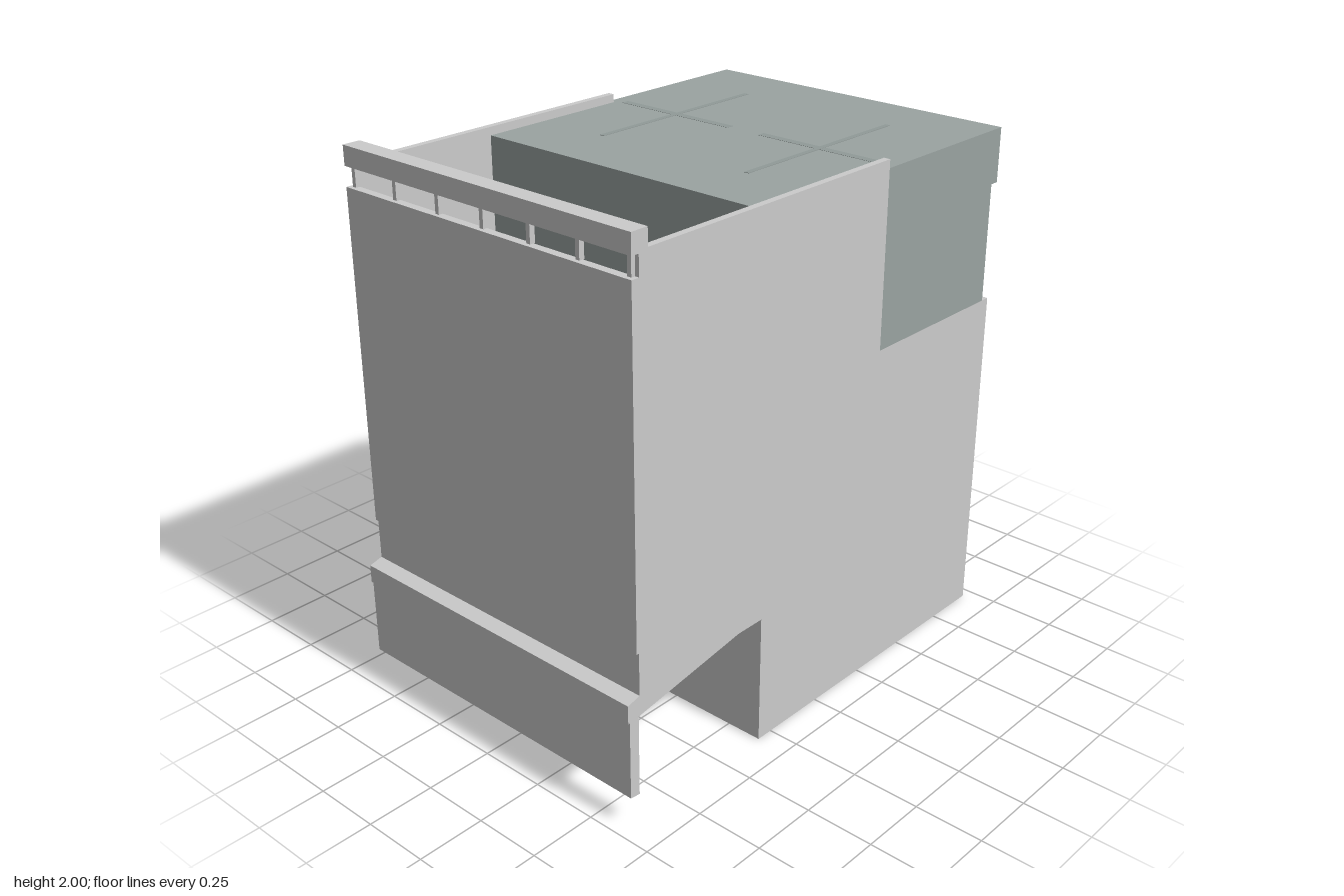
import * as THREE from 'three';

const mat = (color) => new THREE.MeshStandardMaterial({ color, flatShading: true });

export function createModel() {
  const model = new THREE.Group();
  const grey = mat(0xcccccc);
  const slate = mat(0x9aa3a1);
  const slateDark = mat(0x919a98);
  const grille = mat(0x3d5155);

  // box given by its minimum and maximum corners
  const box = (name, material, x0, x1, y0, y1, z0, z1) => {
    const mesh = new THREE.Mesh(new THREE.BoxGeometry(x1 - x0, y1 - y0, z1 - z0), material);
    mesh.position.set((x0 + x1) / 2, (y0 + y1) / 2, (z0 + z1) / 2);
    mesh.name = name;
    model.add(mesh);
    return mesh;
  };

  // side profile of [z, y] points extruded across the width
  const profile = (name, material, points, width) => {
    const shape = new THREE.Shape(points.map(([z, y]) => new THREE.Vector2(z, y)));
    const geo = new THREE.ExtrudeGeometry(shape, { depth: width, bevelEnabled: false });
    geo.translate(0, 0, -width / 2);
    geo.rotateY(-Math.PI / 2);
    const mesh = new THREE.Mesh(geo, material);
    mesh.name = name;
    model.add(mesh);
  };

  const W = 0.635;  // half width
  const IN = 0.61;  // half width inside the side walls
  const BACK = -0.955;

  // base, floor, front wall and hanging kick plate
  profile('body', grey, [
    [BACK, 0], [0.315, 0], [0.315, 0.485], [0.43, 0.485], [0.91, 0.41],
    [0.91, 0.112], [0.95, 0.117], [0.95, 0.405], [0.957, 0.405], [0.957, 0.472],
    [0.905, 0.485], [0.905, 0.64], [0.915, 0.64], [0.915, 1.86], [0.885, 1.86],
    [0.885, 0.5], [0.3, 0.5], [0.3, 1.27], [BACK, 1.27],
  ], W * 2);

  // side walls of the open bay
  for (const s of [-1, 1]) {
    const a = s * IN, b = s * W;
    box('sideWall', grey, Math.min(a, b), Math.max(a, b), 0.5, 1.94, -0.29, 0.885);
  }

  // rail over the front wall, carried on short posts
  box('topRail', grey, -W, W, 1.93, 2, 0.848, 0.915);
  for (let i = -3; i <= 3; i++) {
    const x = i * 0.204;
    box('railPost', grey, x - 0.008, x + 0.008, 1.86, 1.93, 0.88, 0.9);
  }

  // inner housing with overhanging rear head
  box('innerHousing', slate, -IN, IN, 0.5, 1.91, -0.29, 0.315);
  profile('rearHousing', slate, [
    [-0.92, 1.27], [-0.29, 1.27], [-0.29, 1.91], [BACK, 1.91], [BACK, 1.71], [-0.92, 1.71],
  ], W * 2);

  // cross marks on the housing top
  for (const x of [-0.325, 0.325]) {
    box('crossBarLong', slateDark, x - 0.01, x + 0.01, 1.9, 1.9115, -0.71, 0.06);
    box('crossBarShort', slateDark, x - 0.255, x + 0.255, 1.9, 1.911, -0.335, -0.305);
  }

  // rear grille with slats and staggered clips
  box('grillePanel', grille, -0.58, 0.58, 1.275, 1.68, -0.935, -0.915);
  for (let i = 0; i < 4; i++) {
    const y = 1.68 - i * 0.115;
    const x = -0.37 + i * 0.104;
    box('grilleSlat', slate, -0.58, 0.58, y - 0.015, y + 0.015, -0.95, -0.93);
    box('slatClip', grey, x - 0.05, x + 0.05, y - 0.045, y + 0.015, BACK, -0.93);
  }
  box('headPlate', grey, -0.53, -0.43, 1.74, 1.8, BACK - 0.001, -0.94);

  return model;
}
